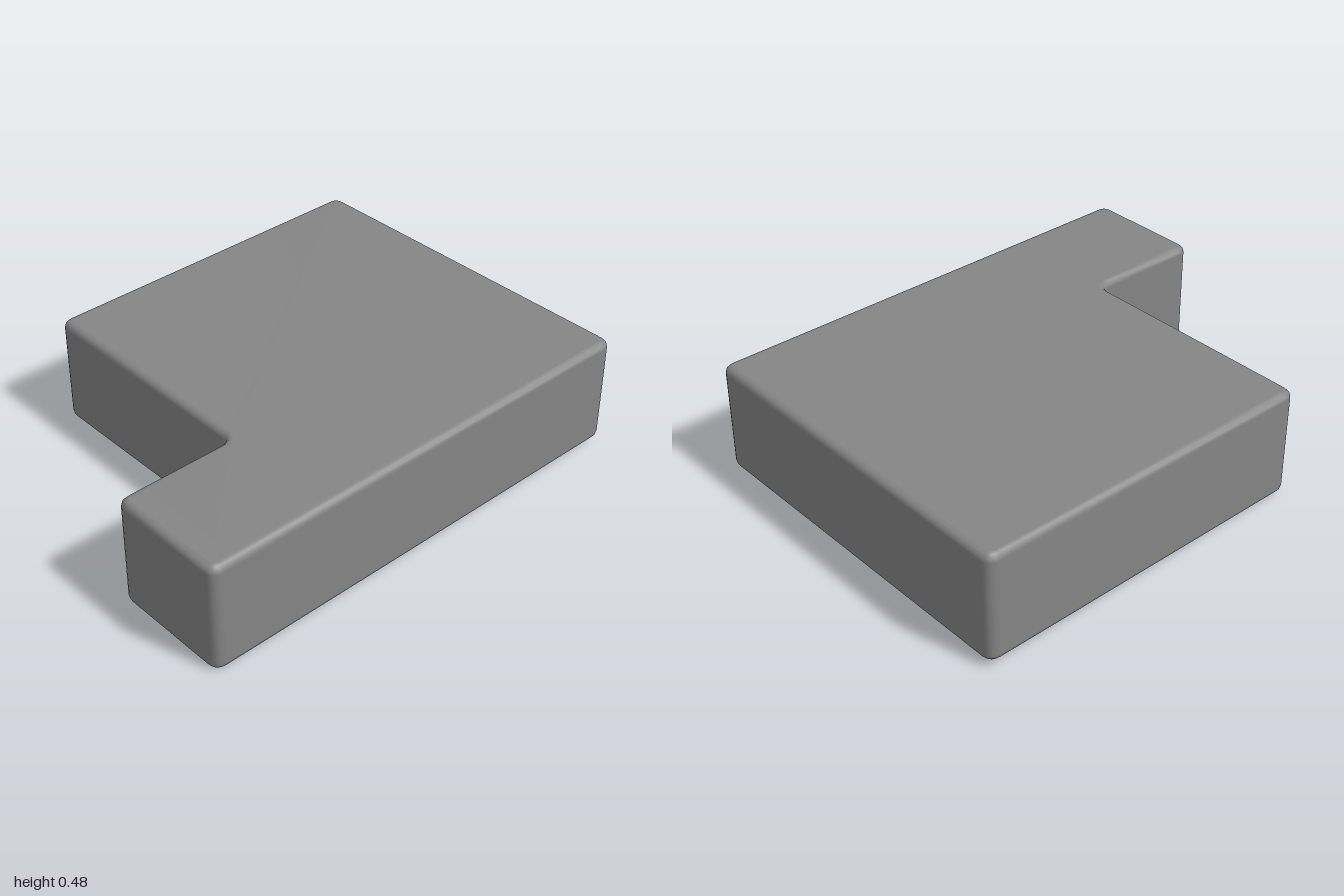
import * as THREE from 'three';
import { mergeVertices } from 'three/addons/utils/BufferGeometryUtils.js';

// Closed outline with every corner rounded by a quadratic curve
function roundedOutline(corners, radius) {
  const shape = new THREE.Shape();
  corners.forEach((c, i) => {
    const prev = corners[(i + corners.length - 1) % corners.length];
    const next = corners[(i + 1) % corners.length];
    const toward = (p) => c.clone().add(p.clone().sub(c).setLength(radius));
    const start = toward(prev), end = toward(next);
    if (i === 0) shape.moveTo(start.x, start.y);
    else shape.lineTo(start.x, start.y);
    shape.quadraticCurveTo(c.x, c.y, end.x, end.y);
  });
  shape.closePath();
  return shape;
}

// Weld the corners so area-weighted normals keep big faces flat and bevels soft
function smoothed(geometry) {
  geometry.deleteAttribute('uv');
  geometry.deleteAttribute('normal');
  const welded = mergeVertices(geometry, 1e-4);
  welded.computeVertexNormals();
  return welded;
}

export function createModel() {
  const group = new THREE.Group();
  const height = 0.455, bevel = 0.028, length = 1.996;
  const halfW = 0.775, halfL = length / 2;

  // L-shaped plan; shape y points to the back (-z)
  const plan = [
    [0.263, -halfL], [halfW, -halfL], [halfW, halfL],
    [-halfW, halfL], [-halfW, -0.49], [0.263, -0.49],
  ].map(([x, y]) => new THREE.Vector2(x, y));

  const geometry = new THREE.ExtrudeGeometry(roundedOutline(plan, 0.05), {
    depth: height - 2 * bevel,
    bevelEnabled: true,
    bevelThickness: bevel,
    bevelSize: bevel,
    bevelOffset: -bevel,
    bevelSegments: 3,
    curveSegments: 5,
  });
  geometry.translate(0, 0, bevel - height / 2);
  geometry.rotateX(-Math.PI / 2);

  const block = new THREE.Mesh(
    smoothed(geometry),
    new THREE.MeshStandardMaterial({ color: 0x858585 })
  );
  block.name = 'roundedBlock';
  // Slight lean: the front sits a little lower than the back
  block.rotation.x = 0.0125;
  block.position.y = 0.24;
  group.add(block);
  return group;
}
